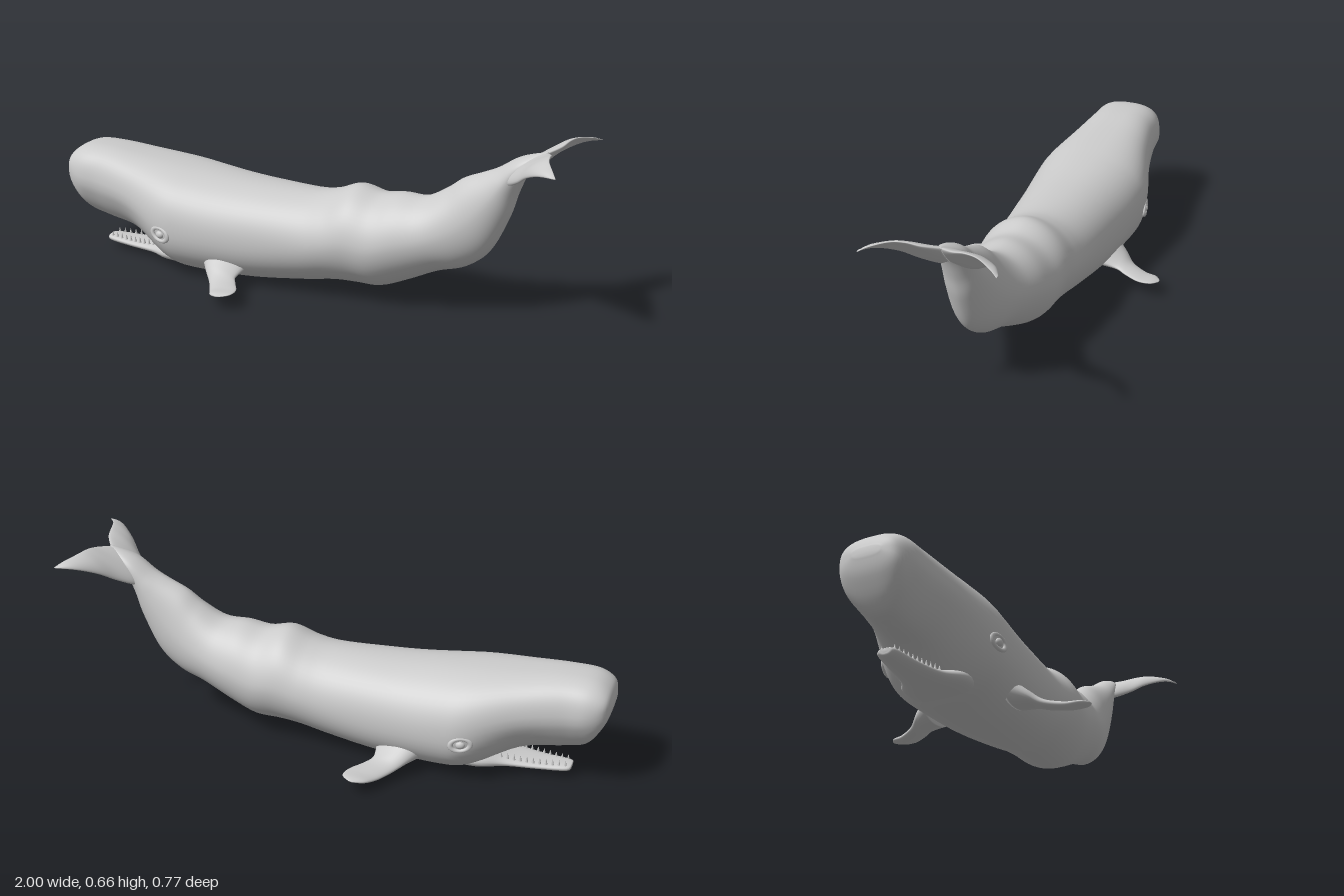
import * as THREE from 'three';

const grey = new THREE.MeshStandardMaterial({ color: 0xcccccc });
const { smoothstep } = THREE.MathUtils;

// Catmull-Rom interpolation through rows of numbers
function refine(rows, steps) {
  const out = [];
  const at = (i) => rows[Math.min(Math.max(i, 0), rows.length - 1)];
  for (let i = 0; i < rows.length - 1; i++) {
    for (let k = 0; k < steps; k++) {
      const t = k / steps;
      out.push(rows[i].map((_, j) => {
        const a = at(i - 1)[j], b = at(i)[j], c = at(i + 1)[j], d = at(i + 2)[j];
        return b + 0.5 * t * (c - a + t * (2 * a - 5 * b + 4 * c - d + t * (3 * (b - c) + d - a)));
      }));
    }
  }
  out.push(rows[rows.length - 1]);
  return out;
}

// Closed skin over a list of rings, capped at both ends and turned outward
function loft(rings) {
  const n = rings[0].length, pos = [], idx = [];
  rings.forEach((r) => r.forEach((p) => pos.push(p.x, p.y, p.z)));
  for (let i = 0; i < rings.length - 1; i++) {
    for (let j = 0; j < n; j++) {
      const a = i * n + j, b = i * n + (j + 1) % n;
      idx.push(a, b, a + n, b, b + n, a + n);
    }
  }
  [0, rings.length - 1].forEach((i) => {
    const c = rings[i].reduce((s, p) => s.add(p), new THREE.Vector3()).divideScalar(n);
    const m = pos.length / 3;
    pos.push(c.x, c.y, c.z);
    for (let j = 0; j < n; j++) {
      const a = i * n + j, b = i * n + (j + 1) % n;
      if (i === 0) idx.push(m, b, a); else idx.push(m, a, b);
    }
  });
  let volume = 0;
  const v = (i) => new THREE.Vector3().fromArray(pos, i * 3);
  for (let i = 0; i < idx.length; i += 3) volume += v(idx[i]).dot(v(idx[i + 1]).cross(v(idx[i + 2])));
  if (volume < 0) idx.reverse();
  const g = new THREE.BufferGeometry();
  g.setAttribute('position', new THREE.Float32BufferAttribute(pos, 3));
  g.setIndex(idx);
  g.computeVertexNormals();
  return g;
}

// Rows: top x, top y, bottom x, bottom y, half width.
// The head is boxy and narrows downward; the rear is rounder.
function trunk(rows, seg) {
  return loft(refine(rows, 6).map(([tx, ty, bx, by, w]) => {
    const head = 1 - smoothstep(tx, -0.85, -0.3);
    const power = 2.15 + 0.6 * head - 0.3 * smoothstep(tx, -0.2, 0.2);
    const pinch = 0.38 * smoothstep(tx, -1, -0.9) * (1 - smoothstep(tx, -0.78, -0.45));
    const ring = [];
    for (let j = 0; j < seg; j++) {
      const a = (j / seg) * Math.PI * 2, c = Math.cos(a), s = Math.sin(a);
      const z = Math.sign(c) * Math.abs(c) ** (2 / power);
      const u = Math.sign(s) * Math.abs(s) ** (2 / power), k = (u + 1) / 2;
      const squeeze = 1 - pinch * Math.max(0, -u);
      ring.push(new THREE.Vector3(bx + (tx - bx) * k, by + (ty - by) * k, z * w * squeeze));
    }
    return ring;
  }));
}

// Rows: span z, leading x, leading y, trailing x, trailing y, thickness
function blade(rows, side, camber) {
  const seg = 28, tip = rows[rows.length - 1][0];
  return loft(refine(rows, 6).map(([z, lx, ly, tx, ty, th]) => {
    const ring = [];
    const dx = tx - lx, dy = ty - ly, len = Math.hypot(dx, dy);
    const arch = camber * Math.sin(Math.PI * z / tip);
    for (let j = 0; j < seg; j++) {
      const a = (j / seg) * Math.PI * 2, k = (1 - Math.cos(a)) / 2;
      const h = Math.sin(a) * th * 0.5 * (1.25 - 0.6 * k) + arch * 4 * k * (1 - k);
      ring.push(new THREE.Vector3(lx + dx * k - (dy / len) * h, ly + dy * k + (dx / len) * h, z * side));
    }
    return ring;
  }));
}

export function createModel() {
  const model = new THREE.Group();
  const add = (name, geometry, parent = model) => {
    const m = new THREE.Mesh(geometry, grey);
    m.name = name;
    parent.add(m);
    return m;
  };

  // Body from blunt snout to tail stock
  add('body', trunk([
    [-1, 0.345, -1, 0.315, 0.05],
    [-0.985, 0.385, -0.98, 0.25, 0.105],
    [-0.93, 0.415, -0.92, 0.16, 0.134],
    [-0.83, 0.419, -0.84, 0.135, 0.142],
    [-0.69, 0.408, -0.69, 0.108, 0.17],
    [-0.53, 0.396, -0.53, 0.028, 0.216],
    [-0.42, 0.387, -0.42, 0.006, 0.219],
    [-0.22, 0.372, -0.22, 0.008, 0.201],
    [0, 0.37, 0, 0.032, 0.18],
    [0.1, 0.385, 0.12, 0.052, 0.175],
    [0.19, 0.418, 0.21, 0.056, 0.17],
    [0.28, 0.402, 0.3, 0.06, 0.162],
    [0.36, 0.413, 0.4, 0.1, 0.148],
    [0.45, 0.416, 0.51, 0.152, 0.124],
    [0.53, 0.46, 0.61, 0.185, 0.101],
    [0.59, 0.505, 0.695, 0.255, 0.084],
    [0.66, 0.536, 0.76, 0.385, 0.07],
    [0.715, 0.562, 0.79, 0.48, 0.061],
    [0.79, 0.61, 0.83, 0.57, 0.048],
    [0.885, 0.641, 0.888, 0.632, 0.006],
  ], 56));

  // Slender open lower jaw
  add('lowerJaw', trunk([
    [-0.868, 0.046, -0.867, 0.036, 0.012],
    [-0.855, 0.052, -0.852, 0.023, 0.036],
    [-0.75, 0.052, -0.75, 0.018, 0.054],
    [-0.64, 0.063, -0.64, 0.019, 0.078],
    [-0.55, 0.092, -0.55, 0.018, 0.125],
    [-0.42, 0.12, -0.42, 0.02, 0.13],
  ], 32));

  // Two rows of small teeth along the jaw
  const teeth = new THREE.Group();
  teeth.name = 'teeth';
  model.add(teeth);
  const tooth = new THREE.ConeGeometry(0.006, 0.024, 8);
  for (const side of [1, -1]) {
    for (let i = 0; i < 11; i++) {
      const t = i / 10;
      add('tooth', tooth, teeth).position.set(-0.848 + 0.225 * t, 0.057 + 0.013 * t * t, side * (0.024 + 0.033 * t));
    }
  }

  for (const side of [1, -1]) {
    const label = side > 0 ? 'left' : 'right';

    // Paddle-shaped flipper
    add(label + 'Flipper', blade([
      [0.15, -0.37, 0.1, -0.19, 0.08, 0.1],
      [0.21, -0.322, 0.07, -0.197, 0.065, 0.05],
      [0.25, -0.285, 0.046, -0.175, 0.06, 0.032],
      [0.31, -0.247, 0.04, -0.138, 0.062, 0.026],
      [0.36, -0.217, 0.05, -0.133, 0.064, 0.017],
      [0.384, -0.18, 0.058, -0.162, 0.06, 0.004],
    ], side, 0));

    // Tail fluke sweeping back to a drooped tip
    add(label + 'Fluke', blade([
      [0, 0.74, 0.52, 0.885, 0.636, 0.045],
      [0.05, 0.763, 0.522, 0.917, 0.649, 0.04],
      [0.1, 0.817, 0.553, 0.93, 0.659, 0.028],
      [0.15, 0.865, 0.592, 0.945, 0.658, 0.02],
      [0.205, 0.926, 0.624, 0.978, 0.646, 0.014],
      [0.234, 0.982, 0.634, 0.998, 0.633, 0.004],
    ], side, 0.008));

    // Eye with lid ring
    const eye = new THREE.Group();
    eye.name = label + 'Eye';
    eye.position.set(-0.512, 0.175, side * 0.214);
    eye.rotation.y = side * -0.2;
    model.add(eye);
    add('eyeball', new THREE.SphereGeometry(0.017, 20, 14), eye).scale.set(1, 0.85, 0.7);
    const lid = add('eyelid', new THREE.TorusGeometry(0.028, 0.008, 10, 32), eye);
    lid.scale.set(1.25, 0.85, 0.9);
    lid.rotation.z = -0.2;
  }
  return model;
}
